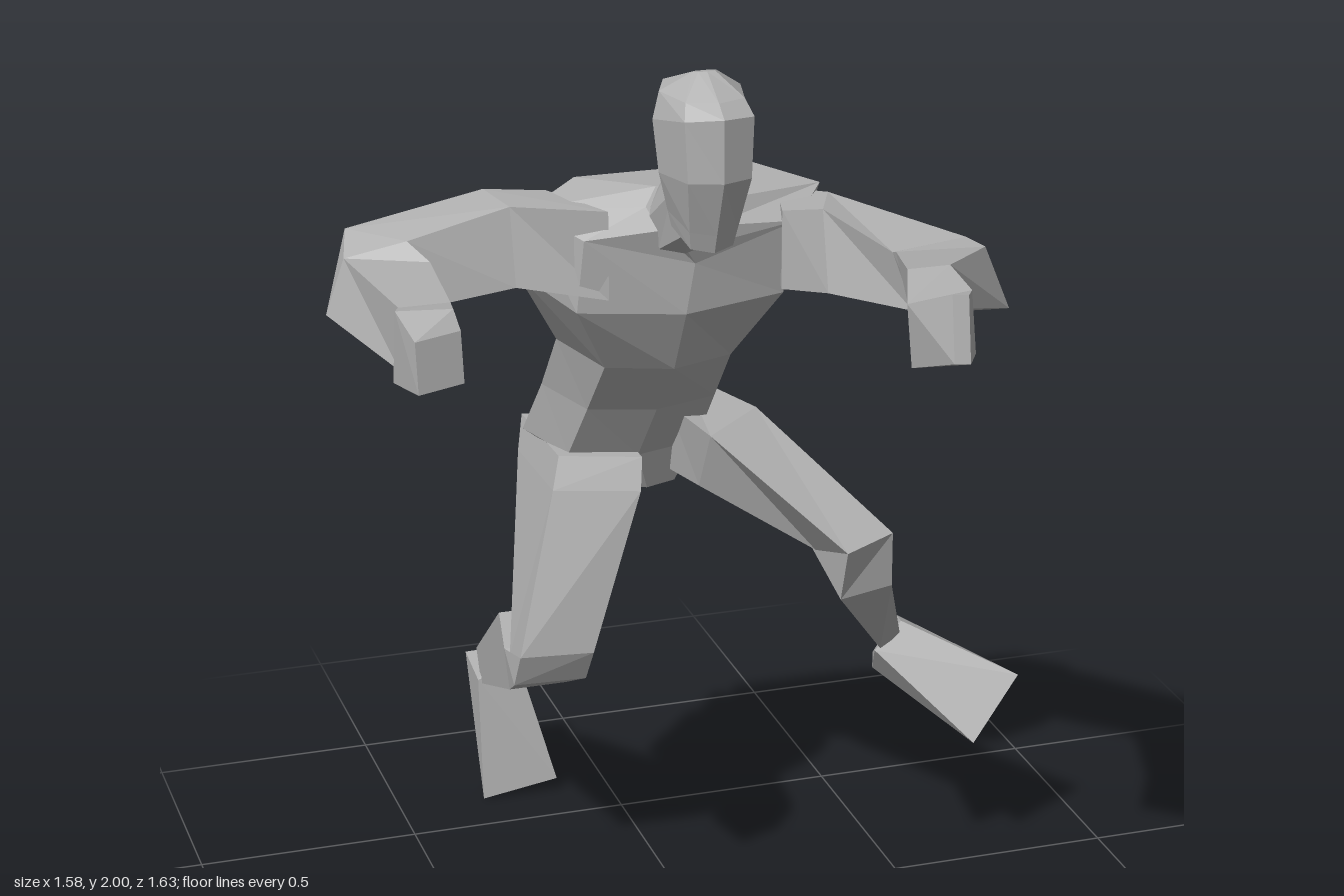
import * as THREE from 'three';
import { ConvexGeometry } from 'three/addons/geometries/ConvexGeometry.js';

const grey = new THREE.MeshStandardMaterial({ color: 0xb2b2b2, flatShading: true });
grey.name = 'clay grey';

const V = (x, y, z) => new THREE.Vector3(x, y, z);

// Skin a list of matching cross-sections, closing both ends
function loft(rings) {
  const tris = [];
  const n = rings[0].length;
  const centre = (ring) => ring.reduce((sum, p) => sum.add(p), V(0, 0, 0)).divideScalar(n);
  const first = rings[0], last = rings[rings.length - 1];
  for (let j = 0; j < n; j++) {
    const k = (j + 1) % n;
    for (let i = 0; i < rings.length - 1; i++) {
      const a = rings[i], b = rings[i + 1];
      tris.push([a[j], a[k], b[k]], [a[j], b[k], b[j]]);
    }
    tris.push([first[k], first[j], centre(first)], [last[j], last[k], centre(last)]);
  }
  // Signed volume tells whether the corners run the right way round
  const volume = tris.reduce((sum, [a, b, c]) => sum + a.dot(b.clone().cross(c)), 0);
  if (volume < 0) tris.forEach((t) => t.reverse());
  const geometry = new THREE.BufferGeometry().setFromPoints(tris.flat());
  geometry.computeVertexNormals();
  return geometry;
}

// Eight-sided body section: u runs across it, t from its back to its front;
// lift raises the front corners above the front middle
function bodySection([right, left, backY, backZ, frontY, frontZ, lift = 0]) {
  const { lerp } = THREE.MathUtils;
  const half = [[0, 0, 0], [0.6, 0, 0], [1, 0.4, lift / 2], [0.72, 0.88, lift], [0, 1, 0]];
  const outline = [...half, ...half.slice(1, 4).reverse().map(([u, t, up]) => [-u, t, up])];
  return outline.map(([u, t, up]) =>
    V(lerp(right, left, (1 + u) / 2), lerp(backY, frontY, t) + up, lerp(backZ, frontZ, t)));
}

// Symmetrical body section around the middle of the head
const headSection = ([width, ...profile]) =>
  bodySection([-0.055 - width, -0.055 + width, ...profile]);

// Four-sided limb section: centre, sideways half vector, upright half vector
const limbSection = ([x, y, z, sideX, sideZ, upY, upZ = 0, upX = 0]) =>
  [[1, 1], [-1, 1], [-1, -1], [1, -1]].map(([s, t]) =>
    V(x + s * sideX + t * upX, y + t * upY, z + s * sideZ + t * upZ));

const body = (sections) => loft(sections.map(bodySection));
const head = (sections) => loft(sections.map(headSection));
const limb = (sections) => loft(sections.map(limbSection));
const hull = (points) => new ConvexGeometry(points.map((p) => V(...p)));

export function createModel() {
  const model = new THREE.Group();
  model.name = 'crouchingFigure';
  const add = (name, geometry) => {
    const mesh = new THREE.Mesh(geometry, grey);
    mesh.name = name;
    model.add(mesh);
  };

  // Torso from crotch through hips, belly, waist, chest and shoulders to collar
  add('torso', body([
    [-0.13, 0.06, 0.96, -0.33, 0.935, -0.17],
    [-0.27, 0.135, 1.05, -0.465, 1.03, -0.13],
    [-0.25, 0.145, 1.18, -0.38, 1.165, -0.04],
    [-0.245, 0.14, 1.32, -0.29, 1.3, 0.085],
    [-0.36, 0.26, 1.55, -0.155, 1.445, 0.16],
    [-0.35, 0.285, 1.69, -0.065, 1.555, 0.165, 0.045],
    [-0.13, 0.02, 1.71, 0.11, 1.59, 0.18, 0.03],
  ]));

  // Neck and head
  add('neck', head([
    [0.075, 1.68, 0.09, 1.58, 0.17],
    [0.055, 1.79, 0.19, 1.66, 0.34],
  ]));
  add('head', head([
    [0.062, 1.7, 0.21, 1.64, 0.36],
    [0.07, 1.73, 0.2, 1.68, 0.375],
    [0.092, 1.79, 0.19, 1.8, 0.42],
    [0.1, 1.88, 0.165, 1.93, 0.42],
    [0.085, 1.955, 0.18, 1.955, 0.385],
    [0.025, 1.995, 0.28, 2, 0.31],
  ]));

  // Arms from shoulder through elbow to wrist, then the hands
  add('leftArm', limb([
    [0.18, 1.56, 0.07, 0.02, -0.08, 0.085],
    [0.27, 1.558, 0.125, 0.025, -0.055, 0.085, -0.02],
    [0.455, 1.523, 0.29, 0.09, -0.025, 0.062, -0.01, -0.02],
    [0.46, 1.528, 0.35, 0.093, 0.012, 0.062, -0.02, -0.02],
    [0.31, 1.607, 0.605, 0.045, 0, 0.042, -0.01],
  ]));
  add('leftHand', limb([
    [0.31, 1.607, 0.605, 0.045, 0, 0.042, -0.01],
    [0.295, 1.56, 0.71, 0.075, -0.02, 0.07, 0.01, -0.01],
    [0.3, 1.588, 0.8, 0.015, 0.005, 0.067, -0.01],
  ]));
  add('rightArm', limb([
    [-0.25, 1.58, 0.05, 0.04, 0.09, 0.095],
    [-0.41, 1.605, 0.03, 0.01, 0.068, 0.08, -0.02],
    [-0.67, 1.57, 0.05, 0.05, 0.06, 0.07, -0.012],
    [-0.685, 1.55, 0.11, 0.08, 0.038, 0.058, 0, 0.02],
    [-0.665, 1.55, 0.42, 0.052, 0, 0.065],
  ]));
  add('rightHand', limb([
    [-0.665, 1.55, 0.42, 0.052, 0, 0.065],
    [-0.685, 1.555, 0.485, 0.055, 0.01, 0.078, 0.015],
    [-0.675, 1.55, 0.575, 0.05, -0.02, 0.05, -0.01],
  ]));

  // Legs from hip through knee to ankle
  add('leftLeg', limb([
    [0.05, 1.055, -0.26, 0.045, -0.09, 0.08, 0.03],
    [0.135, 1.028, -0.125, 0.075, -0.07, 0.072, 0.04],
    [0.315, 0.905, 0.19, 0.065, -0.04, 0.035, 0.1],
    [0.315, 0.845, 0.17, 0.065, -0.02, -0.025, 0.1],
    [0.52, 0.525, -0.16, 0.035, -0.03, -0.01, 0.045],
  ]));
  add('rightLeg', limb([
    [-0.155, 1.035, -0.27, 0.085, 0.03, 0.005, 0.15],
    [-0.17, 0.965, -0.24, 0.09, 0.03, 0.005, 0.142],
    [-0.273, 0.595, -0.11, 0.08, 0.01, 0.015, 0.045],
    [-0.28, 0.56, -0.14, 0.08, 0.005, -0.027, 0.04],
    [-0.265, 0.528, -0.3, 0.065, 0, -0.077, 0.04],
    [-0.245, 0.318, -0.68, 0.045, 0.01, -0.037, 0.02],
  ]));

  // Wedge-shaped feet
  add('leftFoot', hull([
    [0.555, 0.55, -0.14], [0.485, 0.495, -0.12], [0.59, 0.51, -0.26], [0.53, 0.43, -0.25],
    [0.51, 0.415, -0.2], [0.79, 0.44, -0.01], [0.67, 0.305, 0.03],
  ]));
  add('rightFoot', hull([
    [-0.3, 0.295, -0.66], [-0.2, 0.325, -0.67], [-0.24, 0.355, -0.7],
    [-0.29, 0.3, -0.815], [-0.19, 0.3, -0.81], [-0.3, 0, -0.63], [-0.125, 0.035, -0.615],
  ]));

  return model;
}
